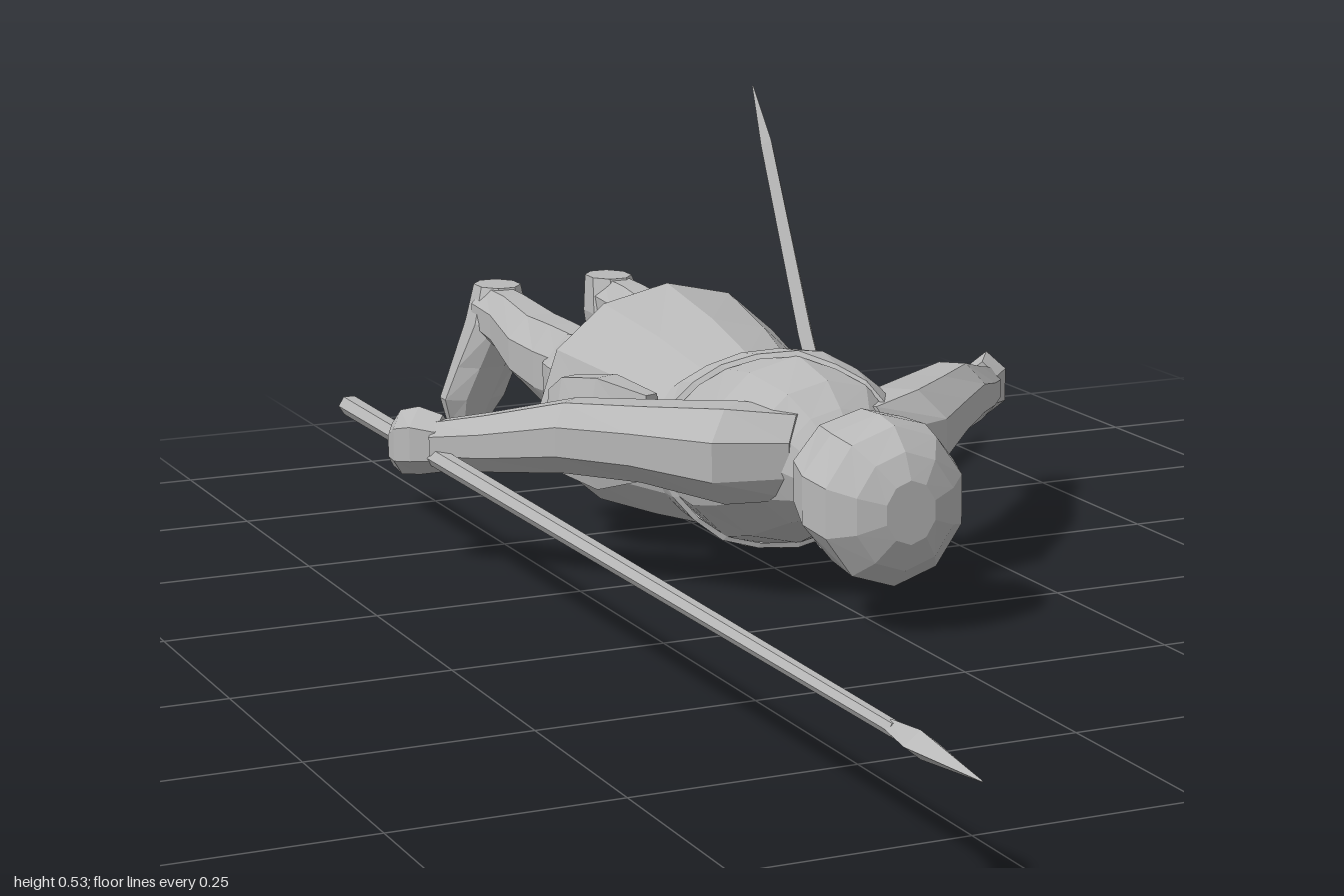
import * as THREE from 'three';

const grey = new THREE.MeshStandardMaterial({ color: 0xb8b8b8, flatShading: true, side: THREE.DoubleSide });
grey.name = 'plain grey';

// Build a faceted skin from rings of points; closed ends are optional.
function skin(name, rings, caps = true) {
  const pos = [], idx = [], n = rings[0].length;
  rings.forEach(r => r.forEach(p => pos.push(p.x, p.y, p.z)));
  for (let i = 0; i < rings.length - 1; i++) {
    for (let j = 0; j < n; j++) {
      const a = i * n + j, b = i * n + (j + 1) % n;
      idx.push(a, b, b + n, a, b + n, a + n);
    }
  }
  if (caps) {
    const last = (rings.length - 1) * n;
    for (let j = 1; j < n - 1; j++) idx.push(0, j + 1, j, last, last + j, last + j + 1);
  }
  const geo = new THREE.BufferGeometry();
  geo.setAttribute('position', new THREE.Float32BufferAttribute(pos, 3));
  geo.setIndex(idx);
  const flat = geo.toNonIndexed();
  flat.computeVertexNormals();
  const mesh = new THREE.Mesh(flat, grey);
  mesh.name = name;
  return mesh;
}

// Loft elliptical sections [x, y, z, halfU, halfV] along the U and V axes.
function loft(name, stations, { u = [1, 0, 0], v = [0, 1, 0], n = 8, half = false, caps = true, lean = 0 } = {}) {
  const U = new THREE.Vector3(...u).normalize(), V = new THREE.Vector3(...v).normalize();
  const W = U.clone().cross(V);
  const first = new THREE.Vector3(...stations[0]), last = new THREE.Vector3(...stations.at(-1));
  const list = last.sub(first).dot(W) < 0 ? [...stations].reverse() : stations;
  const grow = half ? 1 / Math.cos(Math.PI / n) : 1;
  return skin(name, list.map(([x, y, z, a, b]) => Array.from({ length: n }, (_, j) => {
    const t = (j + (half ? 0.5 : 0)) / n * Math.PI * 2;
    const p = new THREE.Vector3(x, y, z)
      .addScaledVector(U, a * grow * Math.cos(t)).addScaledVector(V, b * grow * Math.sin(t));
    p.z += lean * (p.y - y);
    return p;
  })), caps);
}

const torso = [
  [0, 0.155, -0.03, 0.05, 0.045], [0, 0.167, -0.065, 0.075, 0.068], [0, 0.173, -0.1, 0.1, 0.088],
  [0, 0.163, -0.18, 0.125, 0.113], [0, 0.148, -0.26, 0.118, 0.118], [0, 0.142, -0.34, 0.11, 0.107],
];

// Torso section at a given z.
function torsoAt(z) {
  const zc = THREE.MathUtils.clamp(z, -0.339, -0.031);
  const i = torso.findIndex((s, k) => k < 5 && torso[k + 1][2] <= zc);
  const [a, b] = [torso[i], torso[i + 1]], f = (a[2] - zc) / (a[2] - b[2]);
  return a.map((q, k) => THREE.MathUtils.lerp(q, b[k], f));
}

// Slanted sash that follows the torso surface.
function sash() {
  const edge = (shift, grow) => Array.from({ length: 24 }, (_, j) => {
    const t = j / 24 * Math.PI * 2;
    let z = -0.2, x = 0, s = torsoAt(z);
    for (let k = 0; k < 24; k++) {
      s = torsoAt(z);
      x = s[3] * grow * Math.cos(t);
      z = THREE.MathUtils.lerp(z, shift + 1.35 * x, 0.5);
    }
    return new THREE.Vector3(x, s[1] + s[4] * grow * Math.sin(t), z);
  });
  return skin('sash', [edge(-0.235, 1), edge(-0.23, 1.05), edge(-0.18, 1.05), edge(-0.175, 1)], false);
}

function arm(s, side) {
  const g = new THREE.Group();
  g.name = side + 'Arm';
  const axes = { u: [0.75 * s, 0, 0.66], half: true };
  g.add(loft(side + 'Sleeve', [
    [0.04 * s, 0.18, -0.085, 0.035, 0.05], [0.105 * s, 0.18, -0.13, 0.06, 0.056],
    [0.18 * s, 0.186, -0.205, 0.052, 0.045], [0.25 * s, 0.186, -0.272, 0.041, 0.042],
    [0.32 * s, 0.168, -0.355, 0.03, 0.034], [0.365 * s, 0.16, -0.41, 0.022, 0.027],
  ], axes));
  g.add(loft(side + 'Hand', [
    [0.36 * s, 0.16, -0.405, 0.02, 0.03], [0.38 * s, 0.16, -0.432, 0.025, 0.036],
    [0.395 * s, 0.155, -0.455, 0.019, 0.034], [0.402 * s, 0.15, -0.468, 0.01, 0.022],
  ], { ...axes, n: 6 }));
  g.add(loft(side + 'Thumb', [
    [0.365 * s, 0.14, -0.42, 0.012, 0.012], [0.36 * s, 0.135, -0.455, 0.008, 0.009],
  ], { n: 5 }));
  return g;
}

function leg(s, side) {
  const g = new THREE.Group();
  g.name = side + 'Leg';
  g.add(loft(side + 'Breeches', [
    [0.06 * s, 0.155, -0.4, 0.055, 0.075], [0.073 * s, 0.155, -0.56, 0.057, 0.071],
    [0.075 * s, 0.157, -0.66, 0.054, 0.067], [0.077 * s, 0.16, -0.69, 0.046, 0.058],
  ], { half: true }));
  g.add(loft(side + 'Shin', [
    [0.08 * s, 0.168, -0.66, 0.036, 0.055], [0.084 * s, 0.17, -0.72, 0.041, 0.056],
    [0.086 * s, 0.178, -0.79, 0.045, 0.048], [0.085 * s, 0.194, -0.89, 0.034, 0.04],
    [0.085 * s, 0.2, -0.96, 0.034, 0.035],
  ], { half: true }));
  g.add(loft(side + 'Foot', [
    [0.08 * s, 0.237, -0.965, 0.028, 0.035], [0.085 * s, 0.19, -0.955, 0.038, 0.045],
    [0.1 * s, 0.13, -0.968, 0.042, 0.032], [0.115 * s, 0.085, -0.975, 0.042, 0.025],
    [0.12 * s, 0.055, -0.98, 0.028, 0.02],
  ], { v: [0, 0, 1], half: true }));
  return g;
}

export function createModel() {
  const model = new THREE.Group();
  model.name = 'lyingSpearman';

  // Body, open tunic skirt and belt
  model.add(loft('torso', torso, { n: 12 }), sash());
  model.add(loft('pelvis', [[0, 0.145, -0.33, 0.105, 0.1], [0, 0.152, -0.43, 0.11, 0.09],
    [0, 0.155, -0.5, 0.06, 0.06]], { n: 10 }));
  model.add(loft('skirt', [[0, 0.14, -0.33, 0.113, 0.11], [0, 0.146, -0.44, 0.14, 0.13],
    [0, 0.15, -0.583, 0.17, 0.147]], { n: 12, caps: false, lean: 0.08 }));

  // Head: hair cap wrapping a downturned face
  model.add(loft('neck', [[0, 0.155, -0.08, 0.05, 0.05], [0, 0.15, 0, 0.045, 0.045]]));
  model.add(loft('hair', [
    [0, 0.175, -0.035, 0.055, 0.05], [0, 0.17, -0.01, 0.085, 0.072], [0, 0.158, 0.035, 0.095, 0.086],
    [0, 0.15, 0.075, 0.085, 0.088], [0, 0.15, 0.103, 0.06, 0.065], [0, 0.152, 0.118, 0.03, 0.035],
  ], { n: 10, half: true }));
  model.add(loft('face', [
    [0, 0.105, -0.045, 0.028, 0.028], [0, 0.115, -0.02, 0.055, 0.045],
    [0, 0.115, 0.02, 0.066, 0.045], [0, 0.12, 0.06, 0.06, 0.045],
  ], { half: true }));
  model.add(loft('nose', [[0, 0.07, -0.005, 0.014, 0.013], [0, 0.08, 0.035, 0.006, 0.01]], { n: 4 }));
  for (const s of [1, -1]) {
    model.add(loft(s > 0 ? 'leftEar' : 'rightEar',
      [[0.06 * s, 0.14, -0.03, 0.012, 0.014], [0.073 * s, 0.14, 0.01, 0.014, 0.02]], { n: 5 }));
  }

  // Limbs
  for (const [s, side] of [[1, 'left'], [-1, 'right']]) model.add(arm(s, side), leg(s, side));

  // Hip pouch on the right
  model.add(loft('pouch', [
    [-0.115, 0.155, -0.35, 0.018, 0.06], [-0.145, 0.15, -0.42, 0.034, 0.08],
    [-0.168, 0.15, -0.48, 0.028, 0.07], [-0.178, 0.15, -0.515, 0.012, 0.045],
  ], { u: [0.93, 0, -0.37], n: 6 }));

  // Sword on the left hip
  const sword = new THREE.Group();
  sword.name = 'sword';
  const tilt = { v: [0, 0.5, 0.87], half: true };
  sword.add(loft('hilt', [
    [0.135, 0.045, -0.318, 0.024, 0.026], [0.135, 0.055, -0.323, 0.034, 0.034],
    [0.136, 0.11, -0.352, 0.034, 0.034], [0.136, 0.12, -0.357, 0.022, 0.026],
  ], { ...tilt, n: 6 }));
  sword.add(loft('guard', [[0.135, 0.135, -0.39, 0.027, 0.018], [0.135, 0.152, -0.4, 0.027, 0.018]], { ...tilt, n: 4 }));
  sword.add(loft('blade', [
    [0.135, 0.1, -0.36, 0.01, 0.017], [0.137, 0.24, -0.454, 0.01, 0.018],
    [0.146, 0.46, -0.588, 0.008, 0.016], [0.147, 0.53, -0.632, 0.001, 0.001],
  ], { v: [0, 0.5, 0.87], n: 4 }));
  model.add(sword);

  // Long spear in the right hand
  const spear = new THREE.Group();
  spear.name = 'spear';
  spear.add(loft('shaft', [[-0.37, 0.145, -0.725, 0.014, 0.013], [-0.37, 0.145, 0.83, 0.008, 0.008]], { n: 6 }));
  spear.add(loft('spearhead', [
    [-0.37, 0.145, 0.82, 0.008, 0.008], [-0.37, 0.145, 0.88, 0.017, 0.014], [-0.37, 0.145, 1, 0.001, 0.001],
  ], { n: 4 }));
  model.add(spear);
  return model;
}
